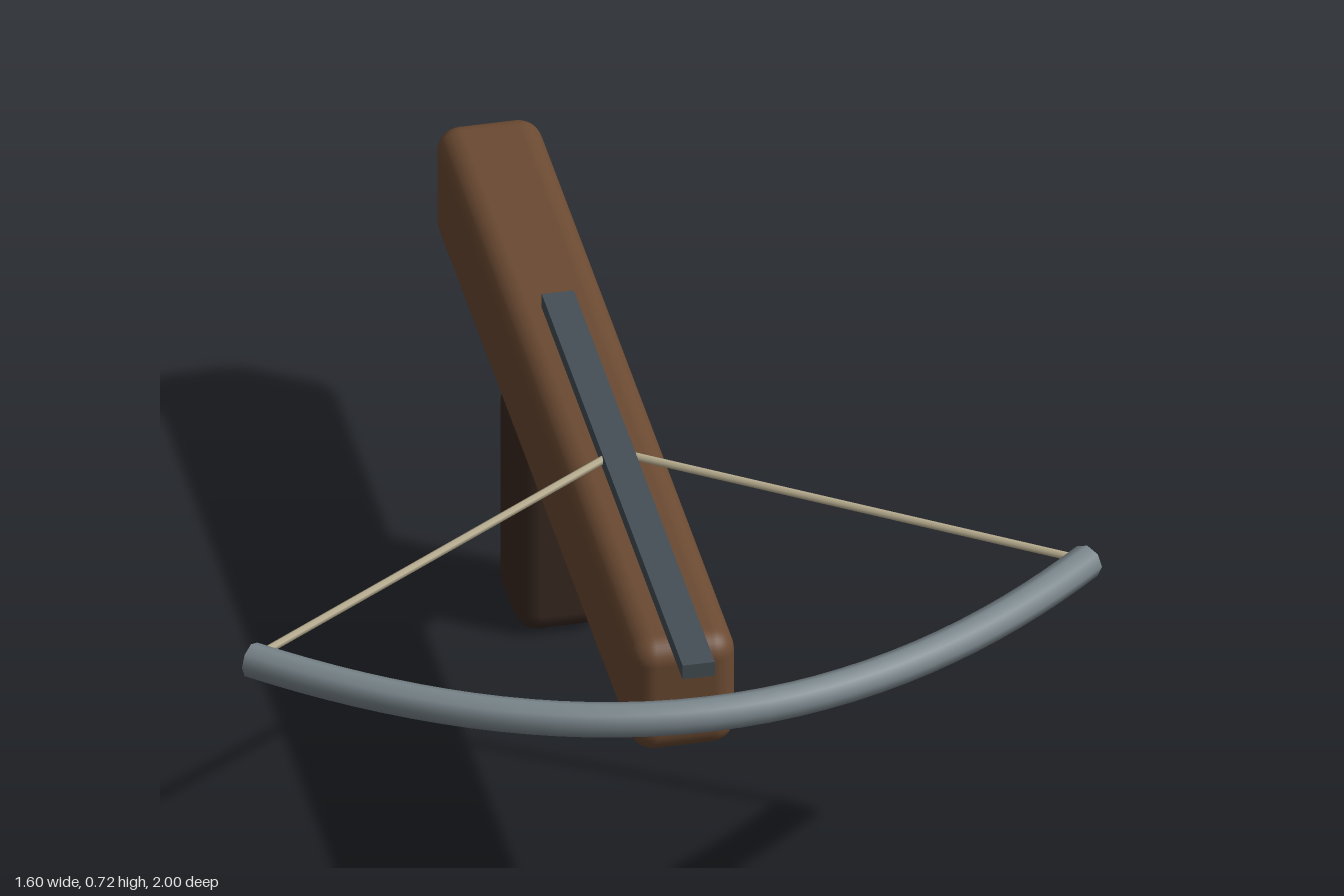
import * as THREE from 'three';
import { RoundedBoxGeometry } from 'three/addons/geometries/RoundedBoxGeometry.js';

const V = (x, y, z) => new THREE.Vector3(x, y, z);

export function createModel() {
  const model = new THREE.Group();
  model.name = 'crossbow';

  const paint = (color, extra = {}) => new THREE.MeshStandardMaterial({ color, ...extra });
  const wood = paint(0x6b4a32);
  const darkWood = paint(0x3a2a22);
  const steel = paint(0x7a868c, { side: THREE.DoubleSide });
  const darkSteel = paint(0x454f55);
  const cord = paint(0xb8ad90);

  const add = (name, geometry, material, x = 0, y = 0, z = 0) => {
    const mesh = new THREE.Mesh(geometry, material);
    mesh.name = name;
    mesh.position.set(x, y, z);
    model.add(mesh);
    return mesh;
  };

  // Stock and pistol grip
  add('stock', new RoundedBoxGeometry(0.195, 0.24, 1.77, 4, 0.045), wood, 0, 0.57, -0.115);
  add('grip', new RoundedBoxGeometry(0.17, 0.47, 0.19, 4, 0.045), darkWood, 0, 0.235, -0.407);

  // Bolt rail along the top of the stock
  add('rail', new THREE.BoxGeometry(0.06, 0.03, 1.24), darkSteel, 0, 0.705, 0.26);

  // Bow limb: a parabolic arc swept by an eight-sided tube
  const tip = V(0.778, 0.667, 0.62);
  const arc = new THREE.QuadraticBezierCurve3(V(-tip.x, tip.y, tip.z), V(0, tip.y, 1.314), tip);
  add('bowLimb', new THREE.TubeGeometry(arc, 32, 0.033, 8), steel);

  // String halves from the tips to the nock point
  const nock = V(0, 0.708, 0.155);
  for (const side of [-1, 1]) {
    const end = V(side * tip.x, tip.y, tip.z);
    const span = end.clone().sub(nock);
    const string = add(side > 0 ? 'stringLeft' : 'stringRight',
      new THREE.CylinderGeometry(0.008, 0.008, span.length(), 6), cord);
    string.position.copy(nock).add(end).multiplyScalar(0.5);
    string.quaternion.setFromUnitVectors(V(0, 1, 0), span.normalize());
  }

  // Trigger guard: a coarse ring running into stock and grip
  const guard = add('triggerGuard', new THREE.TorusGeometry(0.095, 0.015, 6, 12), darkSteel, 0, 0.415, -0.315);
  guard.rotation.y = Math.PI / 2;

  // Slanted trigger blade
  const trigger = add('trigger', new THREE.BoxGeometry(0.03, 0.15, 0.03), darkSteel, 0, 0.395, -0.3);
  trigger.rotation.x = 0.25;

  return model;
}
